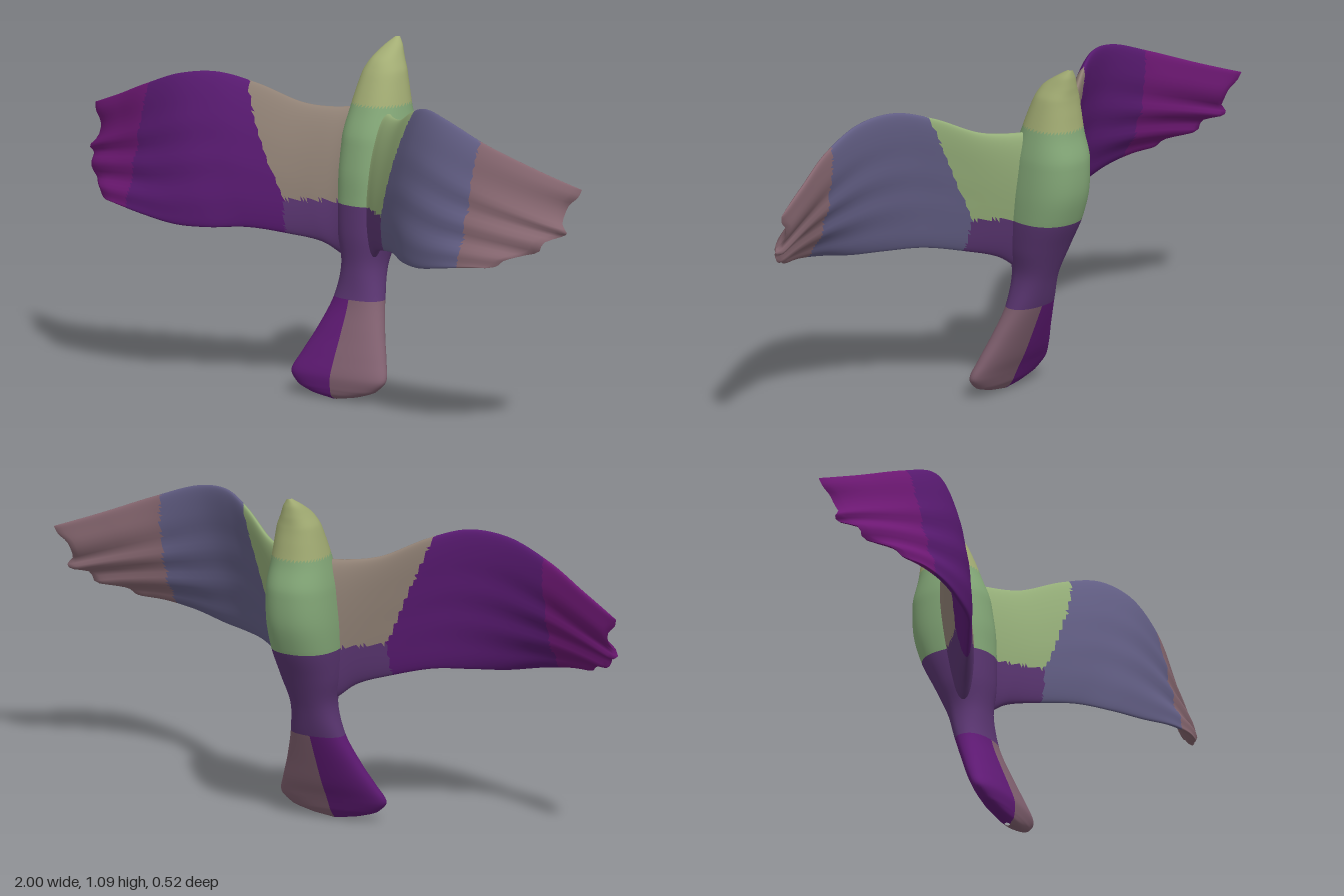
import * as THREE from 'three';

const curve = (pts) => new THREE.CatmullRomCurve3(pts.map((p) => new THREE.Vector3(...p)));

// Skin of closed rings: point(t, angle) gives a surface position.
function loft(point, rows, sides) {
  const pos = [], index = [];
  for (let i = 0; i <= rows; i++) {
    for (let j = 0; j < sides; j++) pos.push(...point(i / rows, (j / sides) * Math.PI * 2));
  }
  for (let i = 0; i < rows; i++) {
    for (let j = 0; j < sides; j++) {
      const k = (j + 1) % sides;
      const a = i * sides + j, b = a + sides, c = i * sides + k, d = c + sides;
      index.push(a, b, c, b, d, c);
    }
  }
  const geo = new THREE.BufferGeometry();
  geo.setAttribute('position', new THREE.Float32BufferAttribute(pos, 3));
  geo.setIndex(index);
  geo.computeVertexNormals();
  return geo;
}

// Splits a skin into named coloured parts; pick(x, y) returns the part number.
function split(geo, parts, pick) {
  const group = new THREE.Group();
  const p = geo.attributes.position, idx = geo.index.array;
  const lists = parts.map(() => []);
  for (let i = 0; i < idx.length; i += 3) {
    const tri = [idx[i], idx[i + 1], idx[i + 2]];
    const x = tri.reduce((s, v) => s + p.getX(v), 0) / 3;
    const y = tri.reduce((s, v) => s + p.getY(v), 0) / 3;
    lists[pick(x, y)].push(...tri);
  }
  parts.forEach(([name, color], n) => {
    const g = new THREE.BufferGeometry();
    // keep only the vertices this part uses, with the shared smooth normals
    const used = [...new Set(lists[n])], remap = new Map(used.map((v, i) => [v, i]));
    for (const key of ['position', 'normal']) {
      const src = geo.attributes[key];
      const data = used.flatMap((v) => [src.getX(v), src.getY(v), src.getZ(v)]);
      g.setAttribute(key, new THREE.Float32BufferAttribute(data, 3));
    }
    g.setIndex(lists[n].map((v) => remap.get(v)));
    const mesh = new THREE.Mesh(g, new THREE.MeshStandardMaterial({ color }));
    mesh.name = name;
    group.add(mesh);
  });
  return group;
}

// Body from tail tip to beak: height, front z, back z, half width
const BODY = [
  [0.003, 0.065, 0.05, 0.01], [0.015, 0.08, 0.035, 0.08], [0.035, 0.085, 0.02, 0.14],
  [0.075, 0.085, 0.0, 0.175], [0.13, 0.065, -0.03, 0.155], [0.2, 0.036, -0.062, 0.125],
  [0.3, 0.0, -0.105, 0.09], [0.4, -0.012, -0.14, 0.073], [0.5, -0.005, -0.185, 0.092],
  [0.6, -0.005, -0.235, 0.105], [0.7, -0.01, -0.265, 0.108], [0.8, -0.025, -0.27, 0.104],
  [0.88, -0.055, -0.25, 0.09], [0.95, -0.082, -0.242, 0.076], [1.0, -0.105, -0.238, 0.064],
  [1.035, -0.13, -0.238, 0.046], [1.07, -0.18, -0.238, 0.027], [1.095, -0.222, -0.236, 0.006],
];

// Slightly boxed cosine and sine
const soft = (c) => Math.sign(c) * Math.abs(c) ** 0.88;

function makeBody() {
  const spine = curve(BODY.map(([y, f, b]) => [0.008, y, (f + b) / 2]));
  const radii = curve(BODY.map(([, f, b, w]) => [w, 0, (f - b) / 2]));
  const geo = loft((t, a) => {
    const c = spine.getPoint(t), r = radii.getPoint(t);
    const x = r.x * soft(Math.cos(a));
    // the tail fan is slightly rolled
    const roll = 0.12 * x * Math.max(0, 1 - c.y / 0.35);
    return [c.x + x, c.y, c.z + r.z * soft(Math.sin(a)) - roll];
  }, 110, 48);
  const body = split(geo, [
    ['rightTail', 0x5f1a74], ['leftTail', 0x80606f], ['rump', 0x5b3672],
    ['breast', 0x84a878], ['head', 0xa3ad74],
  ], (x, y) => (y < 0.3 ? (x < 0.01 ? 0 : 1) : y < 0.6 ? 2 : y < 0.9 ? 3 : 4));
  body.name = 'body';
  return body;
}

// Wing outline: leading edge, trailing edge and feathered tip
const lead = curve([
  [0, 0.9, -0.13], [0.06, 0.885, -0.115], [0.12, 0.88, -0.075], [0.2, 0.89, -0.025],
  [0.32, 0.945, 0.05], [0.43, 0.975, 0.11], [0.55, 0.96, 0.145], [0.7, 0.905, 0.138],
  [0.85, 0.845, 0.09], [0.93, 0.815, 0.062], [1, 0.79, 0.035],
]);
const trail = curve([
  [0, 0.4, -0.08], [0.06, 0.425, -0.06], [0.11, 0.465, -0.02], [0.2, 0.49, 0.048],
  [0.3, 0.507, 0.12], [0.4, 0.503, 0.188], [0.5, 0.505, 0.228], [0.62, 0.525, 0.25],
  [0.72, 0.54, 0.247], [0.78, 0.545, 0.235],
]);
const tip = curve([
  [1, 0.79, 0.035], [0.99, 0.765, 0.04], [0.96, 0.735, 0.06], [0.955, 0.69, 0.07],
  [0.98, 0.66, 0.08], [0.96, 0.645, 0.095], [0.93, 0.63, 0.12], [0.915, 0.6, 0.14],
  [0.87, 0.585, 0.175], [0.83, 0.57, 0.2], [0.81, 0.552, 0.22], [0.78, 0.545, 0.235],
]);

function makeWing(side, name, colors) {
  const end0 = lead.getPoint(1), end1 = trail.getPoint(1);
  const geo = loft((u, a) => {
    const v = (1 - Math.cos(a)) / 2;
    const p = lead.getPointAt(u).lerp(trail.getPointAt(u), v);
    const fan = tip.getPoint(v).sub(end0.clone().lerp(end1, v));
    p.addScaledVector(fan, u ** 4);
    // swells into the body at the root, thin and rounded at the tip
    const half = (0.023 + 0.03 * Math.exp(-((p.x / 0.13) ** 2)) + 0.013 * (1 - u))
      * Math.sqrt(1 - u ** 20) * (1.1 - 0.2 * v);
    // forward camber and the ridges of the flight feathers
    const arch = Math.sin(v * Math.PI);
    const bend = arch * (0.016 * Math.sin(u * Math.PI)
      + 0.012 * u ** 3 * Math.sin(v * Math.PI * 8));
    return [side * p.x, p.y, p.z + bend - side * half * Math.sin(a)];
  }, 90, 72);
  const parts = ['Shoulder', 'Base', 'Middle', 'Tip'].map((n, i) => [name + n, colors[i]]);
  const wing = split(geo, parts, (x, y) => {
    const d = Math.abs(x);
    if (d < 0.2 && y < 0.6) return 1;
    if (d < 0.2 + (y - 0.6) * 0.4) return 0;
    return d < 0.68 ? 2 : 3;
  });
  wing.name = name;
  return wing;
}

export function createModel() {
  const model = new THREE.Group();
  model.name = 'flyingBird';
  model.add(
    makeBody(),
    makeWing(1, 'leftWing', [0x94ad78, 0x5b3672, 0x625e84, 0x85666f]),
    makeWing(-1, 'rightWing', [0x8f8074, 0x5b3672, 0x581a70, 0x6d1873]),
  );
  return model;
}
